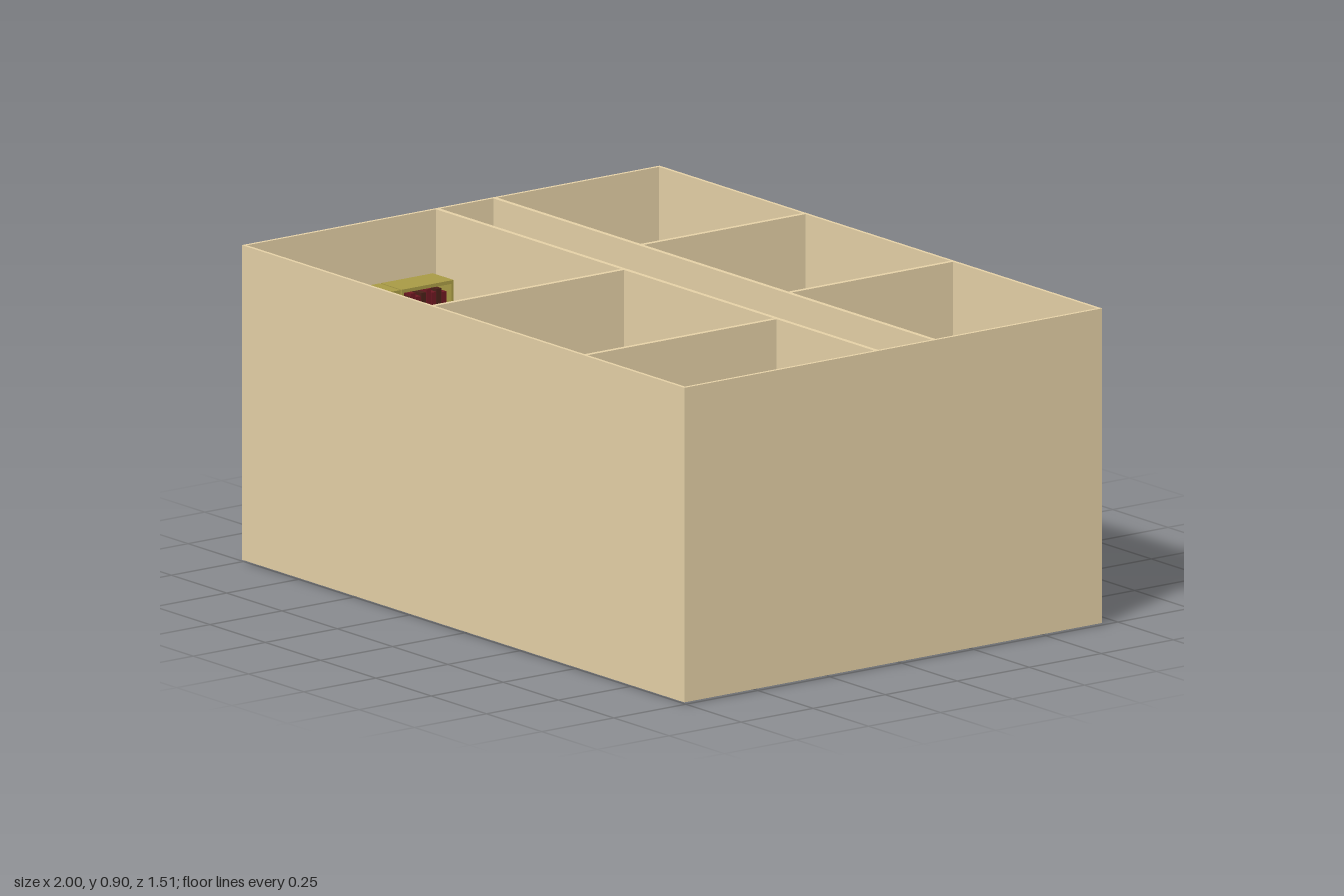
import * as THREE from 'three';

const mat = (color) => new THREE.MeshStandardMaterial({ color, flatShading: true });
const M = {
  wall: mat(0xe4d0a6), floor: mat(0xd0a97f), grey: mat(0xcccccc), red: mat(0x8b1a1a), shelf: mat(0xa89a45),
  brown: mat(0x5e3a10), wood: mat(0xa88350), book: mat(0x6e1822), dark: mat(0x4a2018), pale: mat(0xd8bf9c),
};
const UP = 0.355, GROUND = 0.012, TOP = 0.9;

export function createModel() {
  const root = new THREE.Group();

  function add(name, geo, m, parent = root, x = 0, y = 0, z = 0) {
    const mesh = new THREE.Mesh(geo, m);
    mesh.name = name;
    mesh.position.set(x, y, z);
    parent.add(mesh);
    return mesh;
  }
  // Box given by its limits on each axis
  const block = (name, m, x0, x1, y0, y1, z0, z1, parent = root) =>
    add(name, new THREE.BoxGeometry(x1 - x0, y1 - y0, z1 - z0), m, parent,
      (x0 + x1) / 2, (y0 + y1) / 2, (z0 + z1) / 2);
  function group(name, x, y, z, turn = 0) {
    const g = new THREE.Group();
    g.name = name;
    g.position.set(x, y, z);
    g.rotation.y = turn;
    root.add(g);
    return g;
  }

  // Outer walls
  block('frontWall', M.wall, -1, 1, 0.006, TOP, 0.745, 0.755);
  block('backWall', M.wall, -1, 1, 0.006, TOP, -0.695, -0.685);
  for (const s of [-1, 1])
    block('sideWall', M.wall, s * 0.995 - 0.005, s * 0.995 + 0.005, 0.006, TOP, -0.685, 0.745);

  // Inner walls
  for (const z of [-0.117, 0.082]) block('corridorWall', M.wall, -0.99, 0.99, 0.006, TOP, z - 0.007, z + 0.007);
  for (const x of [-0.335, 0.333]) block('backPartition', M.wall, x - 0.007, x + 0.007, 0.006, TOP, -0.685, -0.124);
  for (const x of [-0.147, 0.543]) block('frontPartition', M.wall, x - 0.007, x + 0.007, 0.006, TOP, 0.089, 0.745);

  // Ground floor slab and bathroom tiles below
  block('groundFloor', M.floor, -0.995, 0.995, 0.007, GROUND, -0.69, 0.75);
  block('groundBathFloor', M.grey, 0.52, 0.99, 0.006, 0.014, 0.37, 0.745);

  // Upper floor with the stairwell opening
  const shape = new THREE.Shape([[-0.99, -0.69], [0.99, -0.69], [0.99, 0.75], [-0.99, 0.75]]
    .map(([x, z]) => new THREE.Vector2(x, z)));
  shape.holes.push(new THREE.Path([[-0.17, -0.685], [-0.17, -0.28], [-0.04, -0.28], [-0.04, -0.125], [0.325, -0.125], [0.325, -0.685]]
    .map(([x, z]) => new THREE.Vector2(x, z))));
  const slab = new THREE.ExtrudeGeometry(shape, { depth: 0.012, bevelEnabled: false });
  slab.rotateX(Math.PI / 2);
  add('upperFloor', slab, M.floor, root, 0, UP, 0);
  block('bathFloor', M.grey, 0.55, 0.99, UP, UP + 0.003, 0.09, 0.745);

  // Carpet, landing and two flights of stairs
  block('landingCarpet', M.red, -0.328, -0.17, UP, UP + 0.004, -0.685, -0.125);
  block('stairCarpet', M.red, -0.17, -0.04, UP, UP + 0.004, -0.28, -0.125);
  block('stairLanding', M.red, 0.15, 0.325, GROUND, 0.16, -0.3, -0.125);
  for (let i = 0; i < 5; i++)
    block('lowerStep', M.red, 0.15, 0.325, GROUND, 0.028 + i * 0.028, -0.45 + i * 0.03, -0.42 + i * 0.03);
  for (let i = 0; i < 6; i++)
    block('upperStep', M.red, 0.15 - (i + 1) * 0.0317, 0.15 - i * 0.0317, GROUND, 0.19 + i * 0.031, -0.28, -0.125);
  block('stairCurb', M.floor, -0.17, -0.16, UP - 0.012, UP + 0.008, -0.685, -0.28);
  block('stairCurb', M.floor, -0.17, 0.15, UP - 0.012, UP + 0.008, -0.29, -0.28);

  // Doors: front entrance, ground rooms, upper rooms
  block('entranceDoor', M.grey, -0.09, 0.09, 0.006, 0.235, -0.757, -0.64);
  block('groundDoor', M.grey, 0.272, 0.39, 0.006, 0.235, -0.63, -0.505);
  for (const [x, z, y] of [[-0.76, -0.11, 0], [-0.33, -0.08, 0.006], [-0.61, -0.35, 0.006], [-0.06, 0.25, 0.006], [0.31, 0.14, 0.006], [0.92, 0.1, 0.006]])
    block('groundDoor', M.grey, x - 0.06, x + 0.06, y, 0.235, z - 0.05, z + 0.05);
  for (const [x, z] of [[0.88, -0.117], [-0.43, -0.117], [0.2, 0.082], [-0.6, 0.082]])
    block('upperDoor', M.wood, x - 0.06, x + 0.06, UP, 0.59, z - 0.009, z + 0.009);
  block('bathDoor', M.wood, 0.534, 0.552, UP, 0.58, 0.62, 0.72);

  // Ground storey counter and cabinet
  block('counter', M.grey, -0.99, -0.91, 0.006, 0.12, -0.68, -0.2);
  block('lowCabinet', M.shelf, -0.12, 0.27, 0.006, 0.15, 0.64, 0.74);

  // Beds: head at local -x
  function bed(x, z, length, width, pillows, turn = 0) {
    const g = group('bed', x, UP, z, turn);
    const l = length / 2, w = width / 2;
    block('mattress', M.grey, -l + 0.01, l - 0.01, 0.03, 0.075, -w + 0.006, w - 0.006, g);
    block('headboard', M.grey, -l, -l + 0.01, 0.02, 0.13, -w, w, g);
    block('footboard', M.grey, l - 0.01, l, 0.02, 0.085, -w, w, g);
    for (const sx of [-1, 1]) for (const sz of [-1, 1])
      add('bedPost', new THREE.CylinderGeometry(0.008, 0.008, sx < 0 ? 0.14 : 0.1, 8), M.grey, g,
        sx * (l - 0.006), sx < 0 ? 0.07 : 0.05, sz * (w - 0.006));
    for (let i = 0; i < pillows; i++) {
      const p = width / pillows;
      const pillow = add('pillow', new THREE.BoxGeometry(0.07, 0.025, p - 0.02), M.grey, g,
        -l + 0.055, 0.092, -w + p * (i + 0.5));
      pillow.rotation.set(0, i ? 0.1 : -0.08, 0.25);
    }
  }
  bed(-0.82, -0.222, 0.32, 0.155, 1);
  bed(0.745, -0.532, 0.31, 0.27, 2, -Math.PI / 2);
  bed(0.025, 0.238, 0.31, 0.265, 2);

  // Eight-sided tables with a small book on top
  for (const [x, z, turn] of [[-0.85, -0.55, 0.5], [-0.51, 0.45, 0.5], [0, 0.62, 0.39]]) {
    const g = group('roundTable', x, UP, z, turn);
    add('tableTop', new THREE.CylinderGeometry(0.11, 0.11, 0.014, 8), M.brown, g, 0, 0.11, 0);
    add('tableLeg', new THREE.CylinderGeometry(0.015, 0.02, 0.1, 8), M.brown, g, 0, 0.055, 0);
    add('tableFoot', new THREE.CylinderGeometry(0.05, 0.06, 0.012, 8), M.brown, g, 0, 0.006, 0);
    block('tableBook', M.grey, 0.01, 0.055, 0.117, 0.127, -0.065, -0.045, g);
  }

  // Small turned chairs
  for (const x of [-0.49, 0.52]) {
    const g = group('chair', x, UP, -0.625, Math.PI / 4);
    block('seat', M.pale, -0.032, 0.032, 0.06, 0.07, -0.032, 0.032, g);
    block('chairBack', M.pale, -0.032, 0.032, 0.07, 0.14, -0.032, -0.026, g);
    for (const sx of [-1, 1]) for (const sz of [-1, 1])
      block('chairLeg', M.pale, sx * 0.027 - 0.004, sx * 0.027 + 0.004, 0, 0.06, sz * 0.027 - 0.004, sz * 0.027 + 0.004, g);
  }

  // Side desks with a potted flower
  function desk(x, y, z, turn) {
    const g = group('desk', x, y, z, turn);
    block('deskTop', M.wood, -0.083, 0.083, 0.095, 0.107, -0.05, 0.05, g);
    block('deskDrawer', M.wood, -0.07, 0.07, 0.065, 0.095, -0.04, 0.04, g);
    for (const sx of [-1, 1]) for (const sz of [-1, 1])
      add('deskLeg', new THREE.CylinderGeometry(0.008, 0.006, 0.1, 8), M.wood, g, sx * 0.073, 0.05, sz * 0.042);
    add('pot', new THREE.CylinderGeometry(0.018, 0.012, 0.03, 10), M.dark, g, -0.035, 0.122, 0);
    for (let i = 0; i < 8; i++) {
      const a = i * Math.PI / 4;
      add('petal', new THREE.IcosahedronGeometry(0.007, 0), M.dark, g, -0.035 + Math.cos(a) * 0.02, 0.145, Math.sin(a) * 0.02);
    }
  }
  desk(0.03, GROUND, -0.35, 0);
  desk(0.4, UP, -0.375, Math.PI / 2);
  desk(-0.94, UP, -0.02, -Math.PI / 2);

  // Round flower stand in the hall
  const stand = group('flowerStand', -0.01, GROUND, -0.435);
  add('standStem', new THREE.CylinderGeometry(0.006, 0.012, 0.13, 8), M.pale, stand, 0, 0.065, 0);
  for (let i = 0; i < 10; i++) {
    const a = i * Math.PI / 5;
    add('blossom', new THREE.IcosahedronGeometry(0.009, 0), M.pale, stand, Math.cos(a) * 0.032, 0.135, Math.sin(a) * 0.032);
  }

  // Bookcases: open side faces local +z
  function bookcase(x, z, turn, width = 0.18) {
    const g = group('bookcase', x, UP, z, turn);
    const w = width / 2, h = 0.365;
    block('caseBack', M.shelf, -w, w, 0, h, -0.047, -0.037, g);
    for (const s of [-1, 1]) block('caseSide', M.shelf, s * (w - 0.004) - 0.004, s * (w - 0.004) + 0.004, 0, h, -0.047, 0.047, g);
    for (let i = 0; i < 5; i++) {
      const y = i * (h - 0.01) / 4;
      block('caseShelf', M.shelf, -w, w, y, y + 0.01, -0.047, 0.047, g);
      if (i === 4) continue;
      for (let k = 0; k < 9; k++) {
        const b = (width - 0.02) / 9, x0 = -w + 0.01 + k * b;
        block('book', k % 3 === 1 ? M.dark : M.book, x0, x0 + b - 0.002, y + 0.01,
          y + 0.065 + ((k * 7 + i * 3) % 5) * 0.004, -0.037, 0.03, g);
      }
    }
  }
  for (const z of [0.19, 0.375, 0.56]) {
    bookcase(-0.943, z, Math.PI / 2);
    bookcase(-0.203, z, -Math.PI / 2);
  }
  for (const x of [-0.81, -0.525, -0.34]) bookcase(x, 0.698, Math.PI);
  block('lowChest', M.shelf, -0.715, -0.63, UP, UP + 0.1, 0.655, 0.74);

  // Bathroom: toilet, tub and basin
  const toilet = group('toilet', 0.55, UP, 0.17);
  block('cistern', M.grey, 0, 0.035, 0.12, 0.285, -0.036, 0.036, toilet);
  const bowl = add('bowl', new THREE.CylinderGeometry(0.045, 0.028, 0.1, 16), M.grey, toilet, 0.075, 0.05, 0);
  bowl.scale.z = 0.85;
  block('toiletBase', M.grey, 0, 0.06, 0, 0.12, -0.02, 0.02, toilet);

  const tub = new THREE.Shape([[0.56, 0.265], [0.705, 0.265], [0.705, 0.57], [0.56, 0.57]].map((p) => new THREE.Vector2(...p)));
  tub.holes.push(new THREE.Path([[0.573, 0.28], [0.573, 0.555], [0.692, 0.555], [0.692, 0.28]].map((p) => new THREE.Vector2(...p))));
  const tubGeo = new THREE.ExtrudeGeometry(tub, { depth: 0.1, bevelEnabled: false });
  tubGeo.rotateX(Math.PI / 2);
  add('bathtub', tubGeo, M.grey, root, 0, UP + 0.1, 0);
  block('tubBottom', M.grey, 0.57, 0.695, UP, UP + 0.025, 0.275, 0.56);

  const sink = group('basin', 0.943, UP, 0.465);
  for (const s of [-1, 1]) {
    block('basinRim', M.grey, -0.047, 0.047, 0.12, 0.16, s * 0.048 - 0.008, s * 0.048 + 0.008, sink);
    block('basinEnd', M.grey, s * 0.039 - 0.008, s * 0.039 + 0.008, 0.12, 0.16, -0.04, 0.04, sink);
  }
  block('basinBottom', M.grey, -0.04, 0.04, 0.12, 0.13, -0.045, 0.045, sink);
  block('basinPedestal', M.grey, -0.01, 0.04, 0, 0.12, -0.02, 0.02, sink);
  block('tap', M.grey, 0.0, 0.04, 0.165, 0.175, -0.005, 0.005, sink);

  return root;
}
